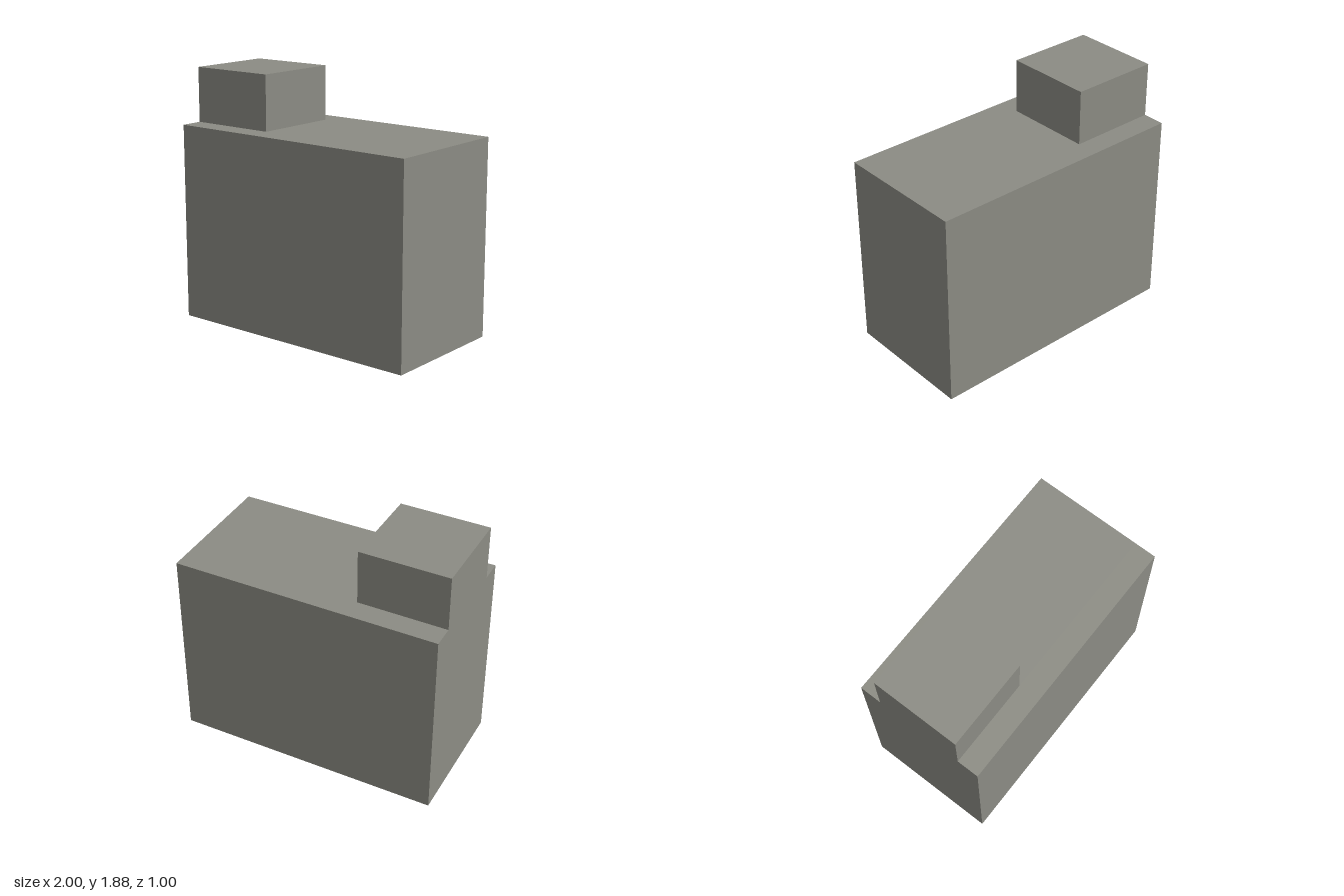
import * as THREE from 'three';

// Side order matches the BoxGeometry groups
const SIDES = ['px', 'nx', 'py', 'ny', 'pz', 'nz'];

// Hollow block standing on the ground, open below; omitted walls are shared with a neighbour
function shell(name, [x0, x1], [z0, z1], height, omit, material) {
  const geometry = new THREE.BoxGeometry(x1 - x0, height, z1 - z0);
  const index = Array.from(geometry.index.array);
  const kept = [];
  SIDES.forEach((side, i) => {
    if (side !== 'ny' && !omit.includes(side)) kept.push(...index.slice(i * 6, i * 6 + 6));
  });
  geometry.setIndex(kept);
  geometry.clearGroups();
  geometry.translate((x0 + x1) / 2, height / 2, (z0 + z1) / 2);
  const mesh = new THREE.Mesh(geometry, material);
  mesh.name = name;
  return mesh;
}

export function createModel() {
  const stone = new THREE.MeshStandardMaterial({ color: 0x8c8c84, side: THREE.DoubleSide });
  stone.name = 'warm grey';

  const body = 1.47, top = 1.88, t = 1 / 3;
  const model = new THREE.Group();
  model.name = 'building';
  model.add(
    // Tower shaft runs from the ground to the high roof
    shell('tower', [-1, -t], [-t, t], top, [], stone),
    // Lower building wraps the tower in three bays
    shell('mainHall', [-t, 1], [-0.5, t], body, ['nx', 'pz'].slice(0, 1), stone),
    shell('frontBay', [-1, 1], [t, 0.5], body, ['nz'], stone),
    shell('backBay', [-1, -t], [-0.5, -t], body, ['pz'], stone),
  );
  return model;
}
